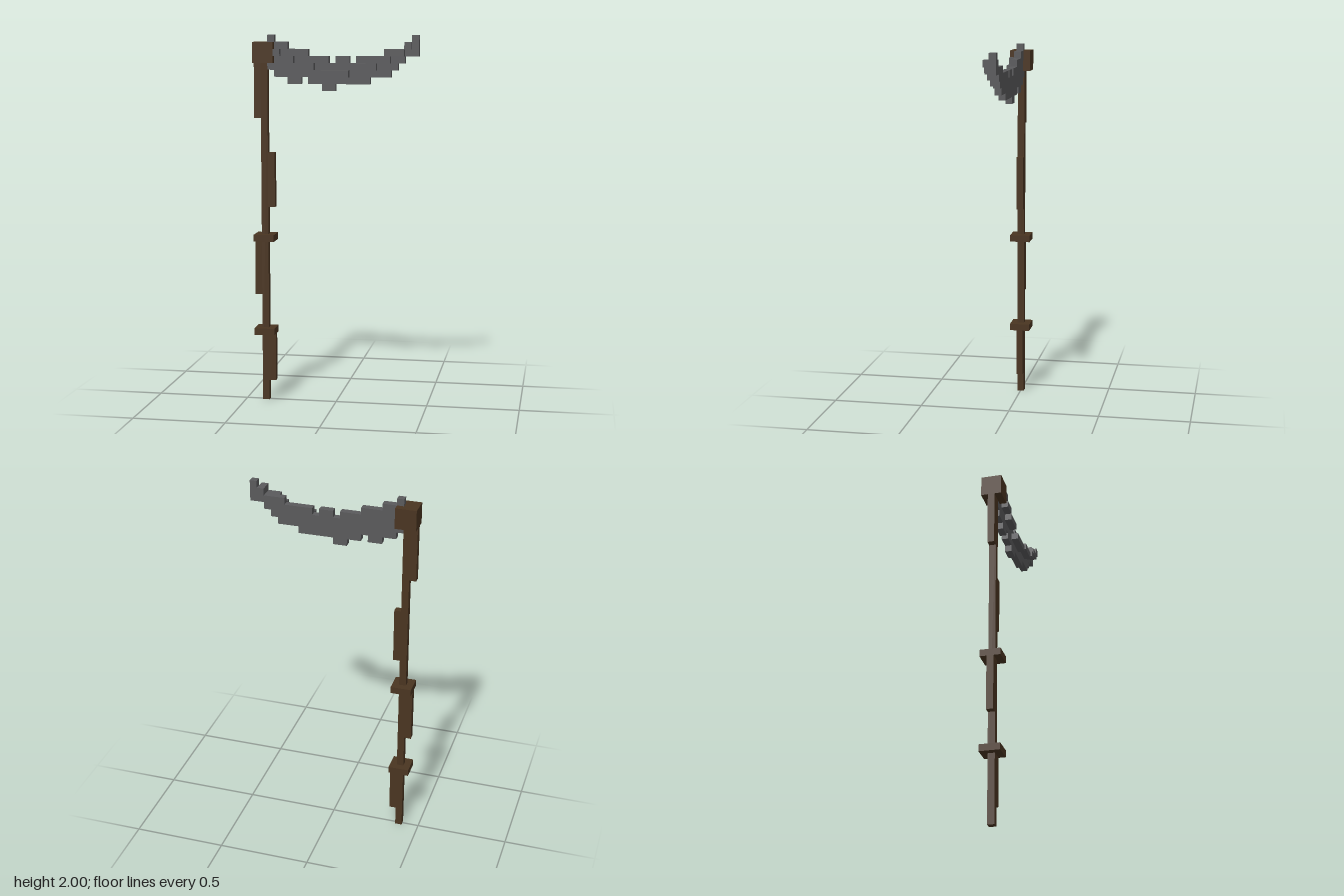
import * as THREE from 'three';

// One grid cell; the model is 24 cells wide and 54 cells tall
const U = 1 / 27;

export function createModel() {
  const model = new THREE.Group();
  model.name = 'scythe';
  const wood = new THREE.MeshStandardMaterial({ name: 'dark wood', color: 0x4a3521 });
  const steel = new THREE.MeshStandardMaterial({ name: 'grey steel', color: 0x5a5a5c });

  // Box from cell ranges: columns x0..x1, rows y0..y1, centre layer z, depth d
  const block = (name, mat, x0, x1, y0, y1, z = 0, d = 1) => {
    const geo = new THREE.BoxGeometry((x1 - x0) * U, (y1 - y0) * U, d * U);
    const mesh = new THREE.Mesh(geo, mat);
    mesh.name = name;
    mesh.position.set(((x0 + x1) / 2 - 12) * U, ((y0 + y1) / 2) * U, z * U);
    model.add(mesh);
  };

  // Shaft with alternating side grips
  block('shaft', wood, 1, 2, 0, 50);
  block('lowerRightGrip', wood, 2, 3, 3, 10);
  block('lowerLeftGrip', wood, 0, 1, 16, 24);
  block('upperRightGrip', wood, 2, 3, 29, 37);
  block('upperLeftGrip', wood, 0, 1, 42, 50);

  // Collars and head block
  block('lowerCollar', wood, 0, 3, 10, 11, 0, 3);
  block('upperCollar', wood, 0, 3, 24, 25, 0, 3);
  block('head', wood, 0, 3, 50, 53, 0, 3);

  // Blade plate: stepped edges as [start column, end column, row]
  const top = [[2, 3, 54], [3, 5, 53], [5, 8, 52], [8, 11, 51], [11, 12, 50], [12, 14, 51],
    [14, 15, 50], [15, 19, 51], [19, 22, 52], [22, 23, 53], [23, 24, 54]];
  const bottom = [[2, 3, 49], [3, 5, 48], [5, 7, 47], [7, 8, 48], [8, 10, 47], [10, 12, 46],
    [12, 17, 47], [17, 20, 48], [20, 21, 49], [21, 22, 50], [22, 24, 51]];
  const edge = (steps) => steps.flatMap(([a, b, y]) => [a, b].map(
    (x) => new THREE.Vector2((x - 12) * U, y * U)));
  const outline = new THREE.Shape([...edge(bottom), ...edge(top).reverse()]);
  const plate = new THREE.ExtrudeGeometry(outline, { depth: U, bevelEnabled: false });
  plate.translate(0, 0, -U / 2);
  const blade = new THREE.Mesh(plate, steel);
  blade.name = 'blade';
  model.add(blade);

  // Raised rib stepping along the front of the blade
  const rib = [[3, 4, 51], [4, 6, 50], [6, 9, 49], [10, 14, 48], [15, 18, 49],
    [19, 20, 50], [20, 22, 51], [22, 23, 52]];
  rib.forEach(([a, b, y], i) => block(`bladeRib${i + 1}`, steel, a, b, y, y + 1, 1));

  return model;
}
